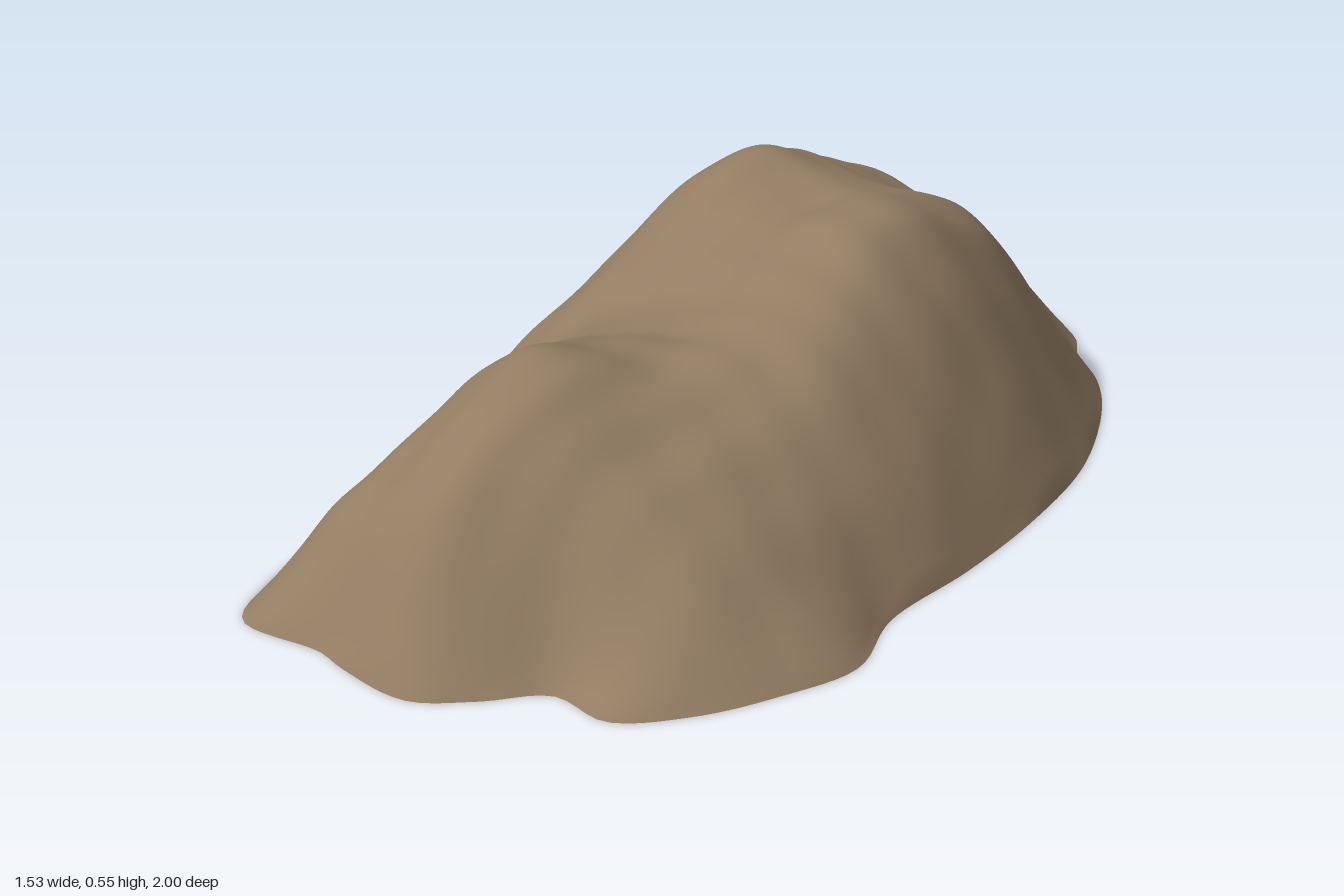
import * as THREE from 'three';

const RINGS = 60, SEGMENTS = 220;

// Footprint on the ground, as x, z pairs
const OUTLINE = [
  0.3, -1, 0.34, -0.98, 0.46, -0.95, 0.6, -0.83, 0.715, -0.66, 0.722, -0.55, 0.755, -0.45,
  0.765, -0.3, 0.72, -0.02, 0.62, 0.22, 0.5, 0.43, 0.37, 0.62, 0.32, 0.79,
  0.2, 0.89, 0.06, 0.97, -0.08, 1, -0.18, 0.93, -0.3, 0.96, -0.42, 0.97,
  -0.55, 0.88, -0.6, 0.83, -0.76, 0.74, -0.75, 0.6, -0.68, 0.4, -0.64, 0.22,
  -0.61, 0, -0.5, -0.2, -0.42, -0.4, -0.28, -0.62, -0.1, -0.83, 0.1, -0.96,
];

// Peaks, saddles and flanks, as x, z, height
const PEAKS = [
  [0.08, -0.27, 0.543], [0, -0.25, 0.525], [0.2, -0.12, 0.5], [0.22, 0.03, 0.515],
  [0.33, 0.05, 0.497], [0.4, -0.05, 0.49], [0.43, -0.17, 0.465], [0.48, -0.3, 0.42],
  [0.3, -0.35, 0.445], [0.2, 0.25, 0.425], [0.08, 0.36, 0.375], [0.03, 0.08, 0.41],
  [-0.08, 0.22, 0.355], [0.35, 0.19, 0.405], [0.08, -0.1, 0.475],
];
const FRONT_HUMP = [
  [-0.27, 0.45, 0.41], [-0.22, 0.22, 0.34], [-0.08, 0.45, 0.365], [-0.4, 0.48, 0.345],
  [-0.3, 0.62, 0.357], [-0.37, 0.75, 0.275], [-0.45, 0.85, 0.13], [-0.3, 0.86, 0.12],
  [-0.27, 0.75, 0.255], [-0.5, 0.6, 0.25], [-0.62, 0.6, 0.16], [-0.45, 0.3, 0.25],
  [-0.15, 0.8, 0.17], [0, 0.8, 0.165], [0, 0.6, 0.285],
];
const FLANKS = [
  [0.2, 0.65, 0.165], [0.25, 0.45, 0.275], [0.4, 0.28, 0.27], [0.5, 0.1, 0.295],
  [0.57, -0.1, 0.285], [0.6, -0.3, 0.255], [0.68, -0.3, 0.125], [0.65, -0.05, 0.13],
  [0.58, 0.15, 0.135], [0.44, 0.4, 0.13], [0.6, -0.47, 0.2], [0.45, -0.5, 0.34],
  [0.35, -0.48, 0.385], [0.55, -0.68, 0.16], [0.3, -0.57, 0.39], [0.14, -0.5, 0.46],
  [0.2, -0.62, 0.4], [0.22, -0.72, 0.31], [0.25, -0.85, 0.16], [0, -0.6, 0.33],
  [-0.1, -0.62, 0.22], [-0.2, -0.45, 0.26], [-0.1, -0.3, 0.46], [-0.28, -0.25, 0.27],
  [-0.4, -0.1, 0.19], [-0.35, 0.05, 0.225], [-0.15, 0, 0.355],
];

// Smooth thin-plate surface through all the given points
function fitSurface(points) {
  const n = points.length, size = n + 3;
  const kernel = (dx, dz) => {
    const r2 = dx * dx + dz * dz;
    return r2 < 1e-12 ? 0 : r2 * Math.log(r2);
  };
  const rows = points.map(([x, z, h]) =>
    [...points.map((q) => kernel(x - q[0], z - q[1])), 1, x, z, h]);
  for (const pick of [() => 1, (p) => p[0], (p) => p[1]]) rows.push([...points.map(pick), 0, 0, 0, 0]);
  for (let c = 0; c < size; c++) {
    let best = c;
    for (let r = c + 1; r < size; r++) if (Math.abs(rows[r][c]) > Math.abs(rows[best][c])) best = r;
    [rows[c], rows[best]] = [rows[best], rows[c]];
    for (let r = 0; r < size; r++) {
      if (r === c) continue;
      const f = rows[r][c] / rows[c][c];
      for (let k = c; k <= size; k++) rows[r][k] -= f * rows[c][k];
    }
  }
  const w = rows.map((row, i) => row[size] / row[i]);
  return (x, z) => points.reduce((sum, p, i) => sum + w[i] * kernel(x - p[0], z - p[1]),
    w[n] + w[n + 1] * x + w[n + 2] * z);
}

// Gentle weathered lumps
function lumps(x, z) {
  const u = x + 0.05 * Math.sin(9 * z + 1), v = z + 0.05 * Math.sin(8 * x + 2);
  return 0.004 * Math.sin(17 * u + 5 * v) * Math.sin(15 * v - 4 * u + 1)
    + 0.004 * Math.sin(29 * u - 8 * v + 2) * Math.sin(27 * v + 9 * u);
}

function moundGeometry() {
  const corners = [];
  for (let i = 0; i < OUTLINE.length; i += 2) corners.push(new THREE.Vector3(OUTLINE[i], 0, OUTLINE[i + 1]));
  const rim = new THREE.CatmullRomCurve3(corners, true, 'centripetal').getSpacedPoints(SEGMENTS);
  const height = fitSurface([...corners.map((p) => [p.x, p.z, 0]), ...PEAKS, ...FRONT_HUMP, ...FLANKS]);

  // Rings grow from the middle out to the footprint
  const positions = [0, height(0, 0) + lumps(0, 0), 0], index = [];
  const id = (ring, j) => (ring === 0 ? 0 : 1 + (ring - 1) * SEGMENTS + (j % SEGMENTS));
  for (let i = 1; i <= RINGS; i++) {
    const t = i / RINGS, fade = Math.min(1, (1 - t) * 6);
    for (let j = 0; j < SEGMENTS; j++) {
      const x = rim[j].x * t, z = rim[j].z * t;
      positions.push(x, i === RINGS ? 0 : Math.max(0.003, height(x, z) + fade * lumps(x, z)), z);
      index.push(id(i - 1, j), id(i, j + 1), id(i, j));
      if (i > 1) index.push(id(i - 1, j), id(i - 1, j + 1), id(i, j + 1));
    }
  }
  const geometry = new THREE.BufferGeometry();
  geometry.setAttribute('position', new THREE.Float32BufferAttribute(positions, 3));
  geometry.setIndex(index);
  geometry.computeVertexNormals();
  return geometry;
}

export function createModel() {
  const earth = new THREE.MeshStandardMaterial({ color: 0x927c62, side: THREE.DoubleSide });
  earth.name = 'brown earth';

  // Hollow shell, open underneath
  const mound = new THREE.Mesh(moundGeometry(), earth);
  mound.name = 'mound';

  const model = new THREE.Group();
  model.name = 'rockMound';
  model.add(mound);
  return model;
}
